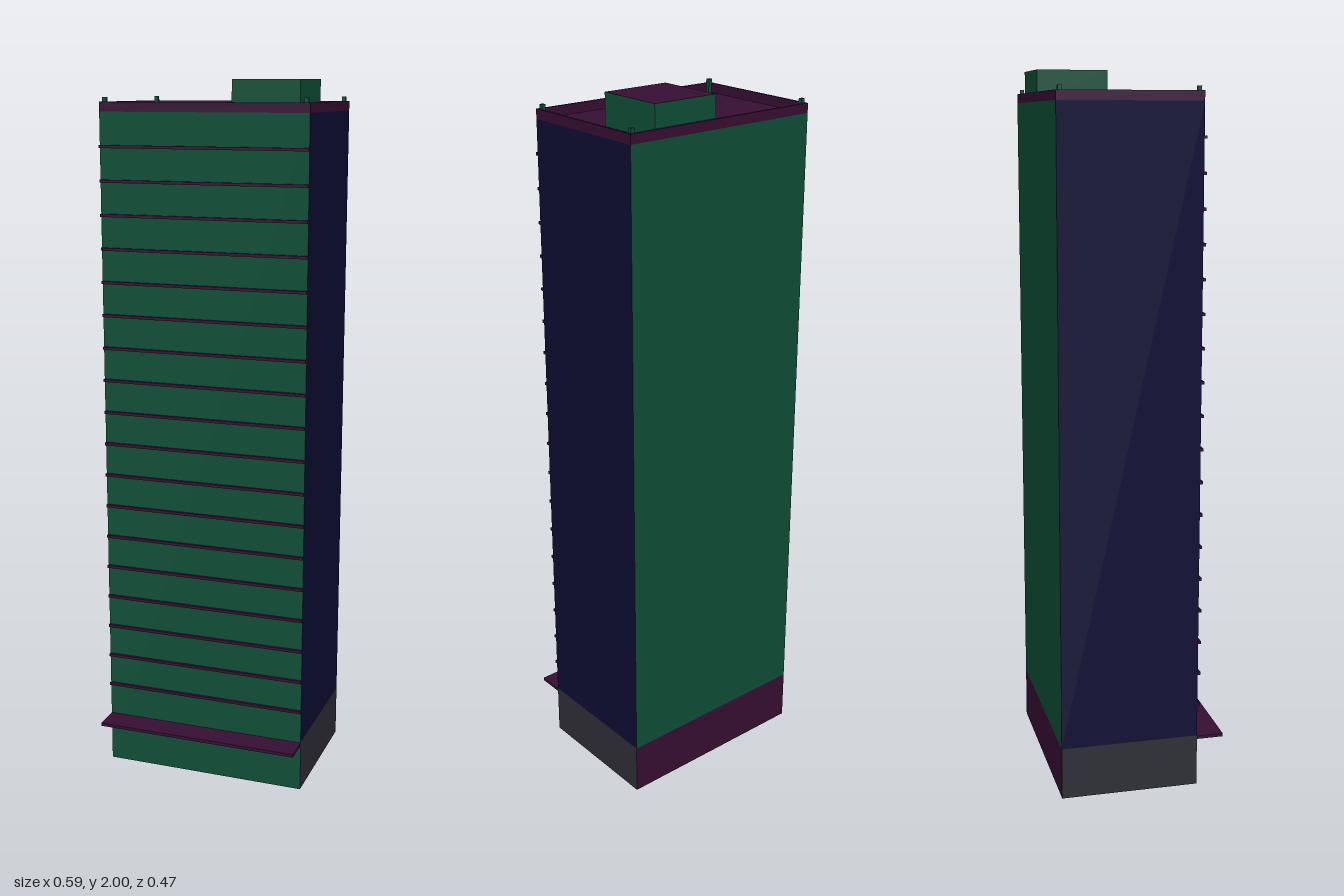
import * as THREE from 'three';

const W = 0.594, HALF = W / 2;        // tower width
const BACK = -0.235, FRONT = 0.158;   // tower depth range
const DEPTH = FRONT - BACK, MID = (FRONT + BACK) / 2;
const BASE = 0.149, ROOF = 1.914, PARAPET = 1.94;

export function createModel() {
  const model = new THREE.Group();
  model.name = 'tower';

  const mat = (name, color) => {
    const m = new THREE.MeshStandardMaterial({ color, side: THREE.DoubleSide });
    m.name = name;
    return m;
  };
  const green = mat('green', 0x0f5037);
  const purple = mat('purple', 0x380f35);
  const navy = mat('navy', 0x0e0e35);
  const grey = mat('grey', 0x2f2f37);

  const add = (name, geometry, material, x, y, z) => {
    const mesh = new THREE.Mesh(geometry, material);
    mesh.name = name;
    mesh.position.set(x, y, z);
    model.add(mesh);
    return mesh;
  };
  // Box given by its min and max corners
  const box = (name, material, x0, x1, y0, y1, z0, z1) =>
    add(name, new THREE.BoxGeometry(x1 - x0, y1 - y0, z1 - z0), material,
      (x0 + x1) / 2, (y0 + y1) / 2, (z0 + z1) / 2);
  // Thin upright wall between two heights, turned about y
  const wall = (name, material, width, y0, y1, x, z, turn) => {
    add(name, new THREE.PlaneGeometry(width, y1 - y0), material, x, (y0 + y1) / 2, z).rotation.y = turn;
  };

  // Hollow shell, open at the bottom
  wall('frontWall', green, W, 0, ROOF, 0, FRONT, 0);
  wall('backWall', green, W, BASE, ROOF, 0, BACK, Math.PI);
  wall('backBase', purple, W, 0, BASE, 0, BACK, Math.PI);
  for (const [side, s] of [['left', 1], ['right', -1]]) {
    wall(side + 'Wall', navy, DEPTH, BASE, ROOF, s * HALF, MID, s * Math.PI / 2);
    wall(side + 'Base', grey, DEPTH, 0, BASE, s * HALF, MID, s * Math.PI / 2);
  }
  const roof = add('roof', new THREE.PlaneGeometry(W, DEPTH), purple, 0, ROOF, MID);
  roof.rotation.x = -Math.PI / 2;

  // Floor ledges across the front
  for (let i = 0; i < 18; i++) {
    const y = 0.244 + i * 0.0928;
    box('floorLedge', purple, -HALF, HALF, y - 0.004, y + 0.004, FRONT, 0.166);
  }

  // Entrance canopy
  box('canopy', purple, -HALF, HALF, 0.138, 0.147, FRONT, 0.235);

  // Parapet around the roof
  const t = 0.007;
  box('frontParapet', purple, -HALF, HALF, ROOF, PARAPET, FRONT - t, FRONT);
  box('backParapet', purple, -HALF, HALF, ROOF, PARAPET, BACK, BACK + t);
  for (const s of [-1, 1]) {
    const x = s * (HALF - t / 2);
    box('sideParapet', purple, x - t / 2, x + t / 2, ROOF, PARAPET, BACK + t, FRONT - t);
    // Corner posts just inside the parapet
    for (const z of [BACK + 0.012, FRONT - 0.012])
      box('cornerPost', green, s * 0.285 - 0.0055, s * 0.285 + 0.0055, ROOF, 1.952, z - 0.0055, z + 0.0055);
  }

  // Rooftop plant room: green sides, purple top
  const room = box('plantRoom', green, 0.018, 0.215, ROOF, 2, -0.226, -0.028);
  room.material = [green, green, purple, purple, green, green];

  return model;
}
